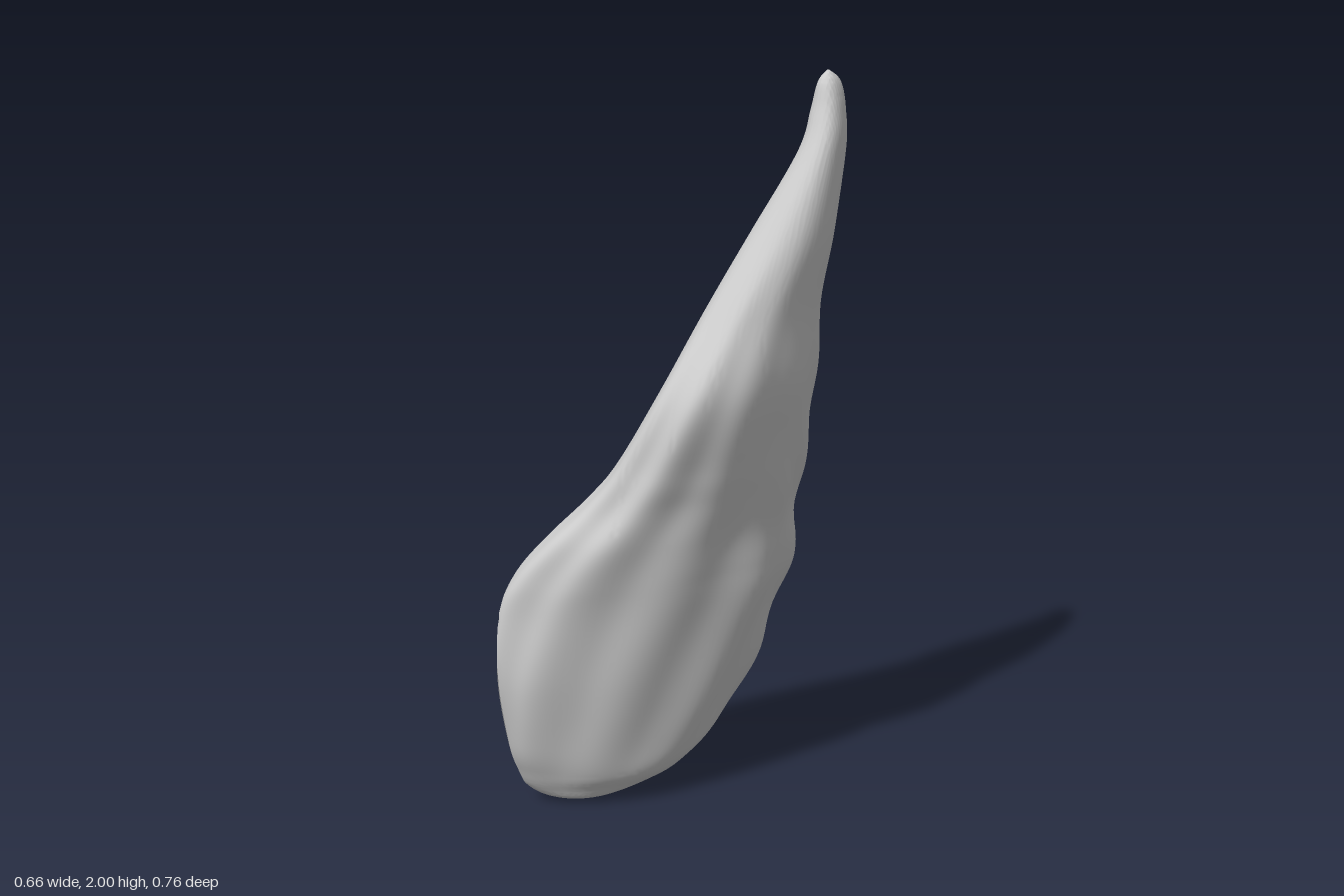
import * as THREE from 'three';
import { toCreasedNormals } from 'three/addons/utils/BufferGeometryUtils.js';

// Horizontal sections: height, x min, x max, z min, z max,
// skew (below PI/2 the section lies along the diagonal, at PI/2 it is upright)
const SECTIONS = [
  [0.00, -0.245, -0.235, 0.150, 0.160, 1.2],
  [0.015, -0.32, -0.14, 0.07, 0.23, 1.1],
  [0.05, -0.36, -0.06, -0.04, 0.27, 0.95],
  [0.10, -0.38, 0.00, -0.09, 0.30, 0.9],
  [0.20, -0.395, 0.06, -0.19, 0.345, 0.85],
  [0.40, -0.40, 0.13, -0.28, 0.385, 0.85],
  [0.60, -0.37, 0.185, -0.34, 0.375, 0.9],
  [0.70, -0.325, 0.20, -0.36, 0.36, 0.95],
  [0.80, -0.25, 0.21, -0.375, 0.325, 1.03],
  [0.90, -0.17, 0.23, -0.375, 0.265, 1.14],
  [1.00, -0.10, 0.25, -0.365, 0.23, 1.25],
  [1.20, 0.00, 0.29, -0.355, 0.18, 1.42],
  [1.40, 0.06, 0.30, -0.34, 0.05, 1.55],
  [1.60, 0.13, 0.325, -0.34, -0.08, 1.65],
  [1.80, 0.20, 0.325, -0.375, -0.20, 1.9],
  [1.90, 0.215, 0.31, -0.375, -0.25, 1.9],
  [1.97, 0.235, 0.29, -0.355, -0.275, 1.75],
  [2.00, 0.26, 0.264, -0.31, -0.306, 1.57],
];

// Smooth blend through the section table
function sectionAt(t) {
  const last = SECTIONS.length - 1;
  const k = Math.min(Math.floor(t * last), last - 1), f = t * last - k;
  const row = (i) => SECTIONS[THREE.MathUtils.clamp(i, 0, last)];
  return row(k).map((b, c) => {
    const a = row(k - 1)[c], d = row(k + 1)[c], e = row(k + 2)[c];
    return b + 0.5 * f * (d - a + f * (2 * a - 5 * b + 4 * d - e + f * (3 * (b - d) + e - a)));
  });
}

// Grooves flowing up the outer face, lumps along the rear edge
function relief(u, y) {
  const fade = THREE.MathUtils.smoothstep(y, 0.02, 0.3) * (1 - THREE.MathUtils.smoothstep(y, 0.9, 1.7));
  const outer = 0.3 + 0.7 * Math.max(0, -Math.sin(u - 0.5));
  const rear = Math.max(0, Math.cos(u - 0.7)) ** 2;
  const grooves = Math.sin(9 * u - 4 * y + 0.6 * Math.sin(4 * y));
  const lumps = Math.sin(19 * y + 3 * u) * Math.cos(4 * u - 2 * y);
  return 1 + fade * (0.035 * outer * grooves + 0.035 * rear * lumps - 0.005);
}

// Cosine with a power, for fuller sections
const powCos = (a, p) => Math.sign(Math.cos(a)) * Math.abs(Math.cos(a)) ** p;

// Rounded lower limit
const softMax = (v, limit, k) => (v + limit + Math.sqrt((v - limit) ** 2 + k * k)) / 2;

function bladeGeometry(around = 120, rows = 136) {
  const positions = [], index = [];
  for (let j = 0; j <= rows; j++) {
    const [y, x0, x1, z0, z1, skew] = sectionAt(j / rows);
    // Fuller sections towards the tip
    const p = 0.98 - 0.1 * THREE.MathUtils.smoothstep(y, 0.8, 1.6);
    // Flattened inner face, most hollow at mid height of the cut
    const limit = -0.205 + 0.04 * Math.exp(-(((y - 0.45) / 0.25) ** 2));
    for (let i = 0; i < around; i++) {
      const u = (i / around) * Math.PI * 2, r = relief(u, y);
      let z = (z0 + z1) / 2 - r * ((z1 - z0) / 2) * powCos(u - skew, p);
      let x = (x0 + x1) / 2 + r * ((x1 - x0) / 2) * powCos(u, p);
      const depth = 0.8 * x + 0.6 * z;
      const push = softMax(depth, limit, 0.03) - depth;
      x += 0.8 * push;
      z += 0.6 * push;
      // Flat cut at the base
      x = Math.max(x, -0.333 + 0.08 * Math.max(0, z - 0.08));
      positions.push(x, THREE.MathUtils.clamp(y, 0, 2), z);
      if (j < rows) {
        const a = j * around + i, b = j * around + ((i + 1) % around);
        index.push(a, b, a + around, b, b + around, a + around);
      }
    }
  }
  // Close the bottom and the tip
  for (let i = 1; i < around - 1; i++) {
    const top = rows * around;
    index.push(0, i + 1, i, top, top + i, top + i + 1);
  }
  const geometry = new THREE.BufferGeometry();
  geometry.setAttribute('position', new THREE.Float32BufferAttribute(positions, 3));
  geometry.setIndex(index);
  return toCreasedNormals(geometry, 0.9);
}

export function createModel() {
  const group = new THREE.Group();
  const blade = new THREE.Mesh(bladeGeometry(), new THREE.MeshStandardMaterial({ color: 0xcccccc }));
  blade.name = 'taperedBlade';
  group.add(blade);
  return group;
}
